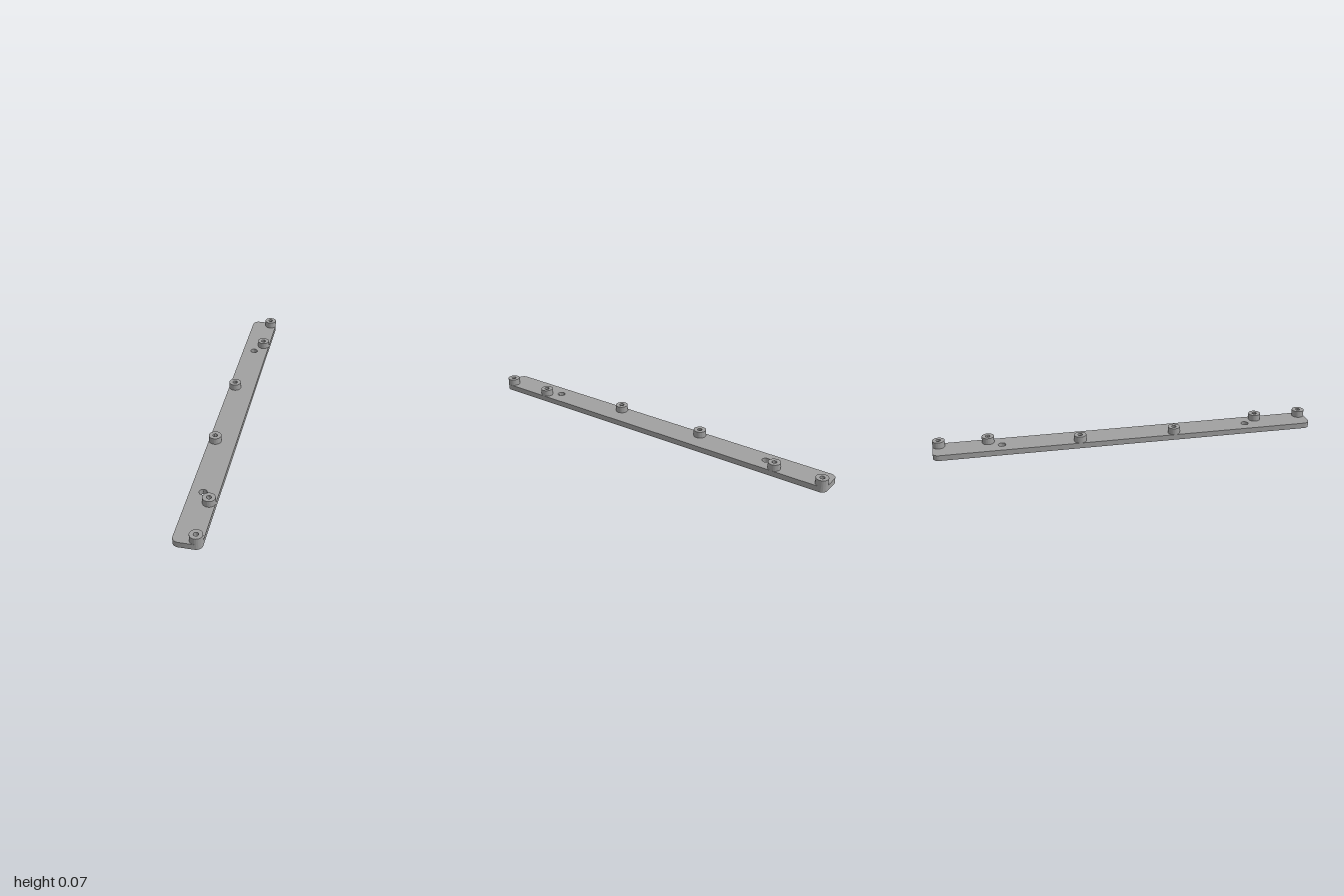
import * as THREE from 'three';
import { toCreasedNormals } from 'three/addons/utils/BufferGeometryUtils.js';

const HALF_L = 1.125, HALF_W = 0.078, CORNER = 0.0355;
const BAR_H = 0.033, TOP = 0.071;
const BOSS_R = 0.0355, BORE_R = 0.0135, HOLE_R = 0.022;
const V = HALF_W - CORNER;

// [along bar, across bar towards the front]
const bosses = [[0.808, V], [0.2805, -V], [1.0895, V]].flatMap(([u, v]) => [[u, v], [-u, v]]);
const holes = [[0.732, -0.007], [-0.732, -0.007]];

function circle(u, v, r, Type = THREE.Path) {
  const p = new Type();
  p.absarc(u, -v, r, 0, Math.PI * 2, false);
  return p;
}

// Extrude a plan shape upwards from y0 to y1
function slab(shape, y0, y1) {
  const g = new THREE.ExtrudeGeometry(shape, { depth: y1 - y0, bevelEnabled: false, curveSegments: 32 });
  g.rotateX(-Math.PI / 2);
  g.translate(0, y0, 0);
  return toCreasedNormals(g, 0.6);
}

export function createModel() {
  const grey = new THREE.MeshStandardMaterial({ color: 0xa0a0a0 });
  grey.name = 'grey';
  const model = new THREE.Group();
  model.name = 'mountingBar';

  const add = (name, geometry) => {
    const mesh = new THREE.Mesh(geometry, grey);
    mesh.name = name;
    model.add(mesh);
  };

  // Rounded bar with screw bores and two larger holes
  const outline = new THREE.Shape();
  const a = HALF_L - CORNER, b = HALF_W - CORNER, q = Math.PI / 2;
  outline.absarc(a, b, CORNER, 0, q, false);
  outline.absarc(-a, b, CORNER, q, 2 * q, false);
  outline.absarc(-a, -b, CORNER, 2 * q, 3 * q, false);
  outline.absarc(a, -b, CORNER, 3 * q, 4 * q, false);
  outline.closePath();
  for (const [u, v] of bosses) outline.holes.push(circle(u, v, BORE_R));
  for (const [u, v] of holes) outline.holes.push(circle(u, v, HOLE_R));
  add('bar', slab(outline, 0, BAR_H));

  // Hollow standoffs on top of the bar
  bosses.forEach(([u, v], i) => {
    const ring = circle(u, v, BOSS_R, THREE.Shape);
    ring.holes.push(circle(u, v, BORE_R));
    add(`standoff${i + 1}`, slab(ring, BAR_H, TOP));
  });

  // The bar lies diagonally
  model.rotation.y = Math.PI / 6;
  return model;
}
